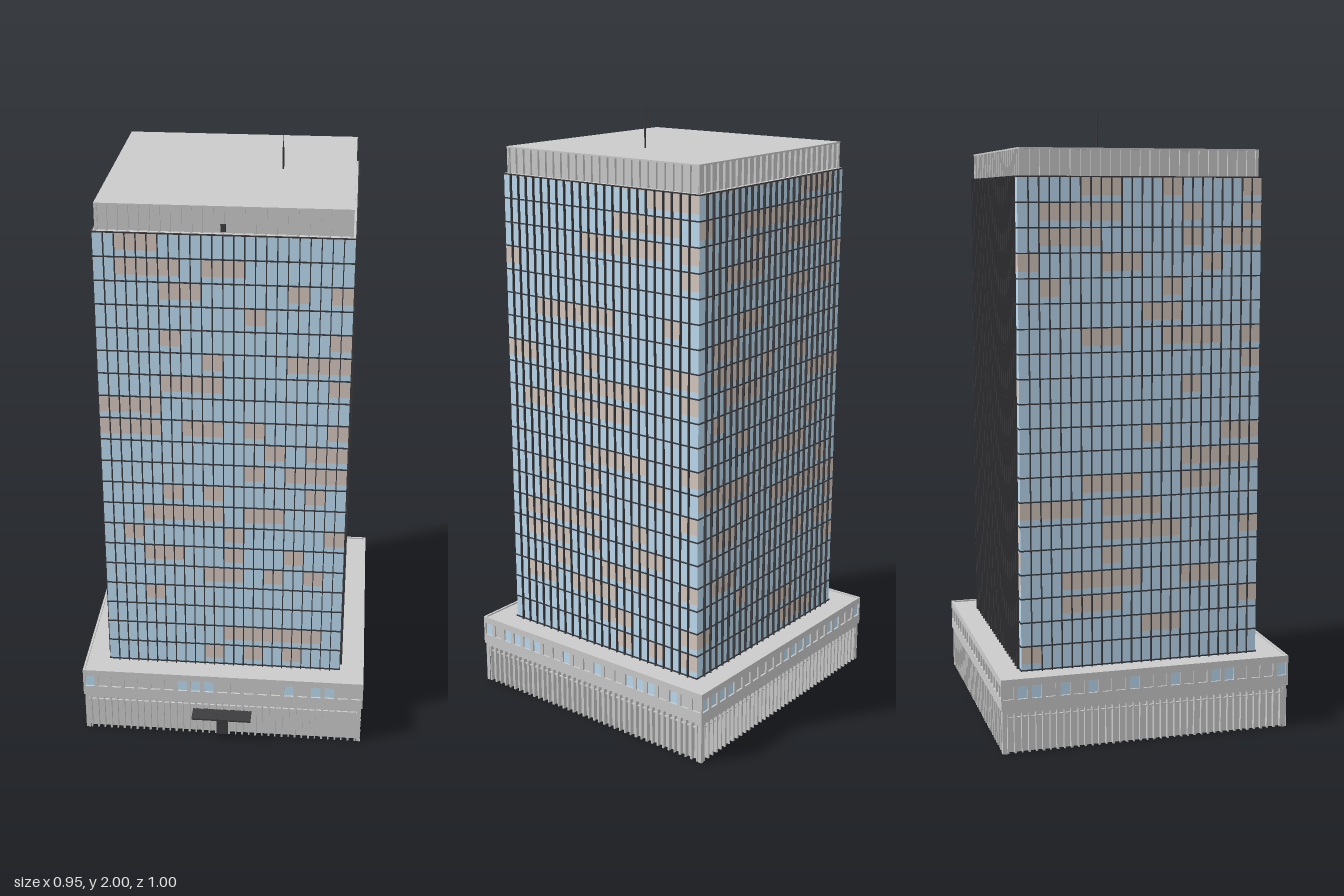
import * as THREE from 'three';
import { mergeGeometries } from 'three/addons/utils/BufferGeometryUtils.js';

const GREY = 0xcccccc, GLASS = 0xbcdcf2, BLIND = 0xd6c8be, DARK = 0x3c3c40;

// Box given by centre and size
function box(x, y, z, w, h, d) {
  return new THREE.BoxGeometry(w, h, d).translate(x, y, z);
}
function pane(x, y, z, w, h) {
  return new THREE.PlaneGeometry(w, h).translate(x, y, z);
}
function turned(geometries, i) {
  return geometries.map((g) => g.clone().rotateY((i * Math.PI) / 2));
}
// Repeat one facade on all four sides
function fourSides(geometries) {
  return [0, 1, 2, 3].flatMap((i) => turned(geometries, i));
}
function addPart(group, name, geometries, color = GREY, doubleSided = false) {
  const flat = geometries.map((g) => (g.index ? g.toNonIndexed() : g));
  const mesh = new THREE.Mesh(
    mergeGeometries(flat),
    new THREE.MeshStandardMaterial({ color, side: doubleSided ? THREE.DoubleSide : THREE.FrontSide })
  );
  mesh.name = name;
  group.add(mesh);
  return mesh;
}
function seeded(seed) {
  let s = seed;
  return () => (s = (s * 16807) % 2147483647) / 2147483647;
}

function createPodium(rand) {
  const g = new THREE.Group();
  g.name = 'podium';
  const H = 0.475, bays = 21, pitch = (2 * H) / bays, split = 0.14, top = 0.24;
  const bayX = (i) => -H + (i + 0.5) * pitch;

  // Ground floor arcade: paired narrow arches, open at the bottom
  const arcade = new THREE.Shape();
  const L = H - 0.004, r = 0.0085, spring = 0.125;
  arcade.moveTo(-L, split);
  arcade.lineTo(-L, 0);
  for (let i = 0; i < bays; i++) {
    for (const s of [-1, 1]) {
      const x = bayX(i) + s * 0.0108;
      arcade.lineTo(x - r, 0);
      arcade.lineTo(x - r, spring);
      arcade.absarc(x, spring, r, Math.PI, 0, true);
      arcade.lineTo(x + r, 0);
    }
  }
  arcade.lineTo(L, 0);
  arcade.lineTo(L, split);
  const arcadeGeo = new THREE.ExtrudeGeometry(arcade, { depth: 0.014, bevelEnabled: false, curveSegments: 4 });
  arcadeGeo.translate(0, 0, L - 0.014);
  addPart(g, 'arcade', fourSides([arcadeGeo]));
  addPart(g, 'arcadeTransoms', fourSides([box(0, 0.113, L - 0.009, 2 * L - 0.02, 0.004, 0.006)]));

  // Wall behind the arches and its glazed inner face
  addPart(g, 'groundFloorWall', fourSides([pane(0, split / 2, 0.457, 0.914, split)]));
  const lining = pane(0, 0.115, 0, 0.912, 0.23).rotateY(Math.PI).translate(0, 0, 0.456);
  addPart(g, 'innerGlazing', fourSides([lining]), GLASS);

  // Upper band with window openings
  const band = new THREE.Shape();
  band.moveTo(-H, split);
  band.lineTo(H, split);
  band.lineTo(H, top);
  band.lineTo(-H, top);
  const w = 0.016, y0 = 0.175, y1 = 0.217;
  for (let i = 0; i < bays; i++) {
    const x = bayX(i), hole = new THREE.Path();
    hole.moveTo(x - w, y0);
    hole.lineTo(x - w, y1);
    hole.lineTo(x + w, y1);
    hole.lineTo(x + w, y0);
    band.holes.push(hole);
  }
  const bandGeo = new THREE.ExtrudeGeometry(band, { depth: 0.007, bevelEnabled: false });
  bandGeo.translate(0, 0, H - 0.007);
  addPart(g, 'upperBand', fourSides([bandGeo]));
  addPart(g, 'bandSoffit', fourSides([box(0, split + 0.003, 0.463, 0.94, 0.006, 0.02)]));

  // Band windows, some lit and some plain
  const lit = [], plain = [];
  for (let s = 0; s < 4; s++) {
    for (let i = 0; i < bays; i++) {
      const p = pane(bayX(i), (y0 + y1) / 2, H - 0.006, 2 * w, y1 - y0);
      (rand() < 0.5 ? lit : plain).push(...turned([p], s));
    }
  }
  addPart(g, 'bandWindows', lit, GLASS);
  addPart(g, 'bandPanels', plain);

  // Roof deck, and the tower footing seen from underneath
  addPart(g, 'podiumRoof', [box(0, 0.23, 0, 0.937, 0.01, 0.937), box(0, 0.227, 0, 0.79, 0.01, 0.79)]);
  return g;
}

function createTower(rand) {
  const g = new THREE.Group();
  g.name = 'tower';
  const T = 0.392, base = 0.235, top = 1.78, floors = 20, cols = 12;
  const fh = (top - 0.24) / floors, cw = (2 * T) / cols;

  // Curtain wall: clear panes and runs of drawn blinds
  const clear = [], blinds = [];
  for (let s = 0; s < 4; s++) {
    for (let f = 0; f < floors; f++) {
      let drawn = false;
      for (let c = 0; c < cols; c++) {
        drawn = rand() < (drawn ? 0.5 : 0.2);
        const p = pane(-T + (c + 0.5) * cw, 0.24 + (f + 0.5) * fh, T, cw, fh);
        // Blinds stop short of the floor line, leaving clear glass below
        if (drawn) {
          const y = 0.24 + f * fh;
          blinds.push(...turned([pane(-T + (c + 0.5) * cw, y + fh * 0.6, T + 0.0006, cw, fh * 0.7)], s));
        }
        clear.push(...turned([p], s));
      }
    }
  }
  addPart(g, 'glassPanes', clear, GLASS);
  addPart(g, 'blinds', blinds, BLIND);
  addPart(g, 'towerTop', [box(0, top - 0.004, 0, 2 * T, 0.008, 2 * T)]);

  // Floor ledges and vertical fins
  const ledges = [], fins = [];
  for (let f = 0; f <= floors; f++) {
    ledges.push(box(0, 0.24 + f * fh - 0.002, T + 0.001, 2 * T + 0.006, 0.004, 0.004));
  }
  for (let i = -11; i <= 11; i++) {
    fins.push(box((i * cw) / 2, (base + top) / 2, T + 0.004, 0.003, top - base, 0.009));
  }
  addPart(g, 'floorLedges', fourSides(ledges), DARK);
  addPart(g, 'verticalFins', fourSides(fins), DARK);

  // Ribbed crown with flat roof
  const ribs = [];
  for (let i = -12; i <= 12; i++) ribs.push(box(i * 0.0317, 1.819, 0.38, 0.006, 0.082, 0.01));
  addPart(g, 'crownBody', [box(0, 1.82, 0, 0.754, 0.084, 0.754)]);
  addPart(g, 'crownRibs', fourSides(ribs));
  addPart(g, 'roofSlab', [box(0, 1.8625, 0, 0.77, 0.005, 0.77)]);
  return g;
}

export function createModel() {
  const model = new THREE.Group();
  model.name = 'officeTower';
  const rand = seeded(4711);

  const podium = createPodium(rand);
  podium.position.z = -0.025;
  const tower = createTower(rand);
  tower.position.z = -0.026;
  model.add(podium, tower);

  // Entrance door and canopy
  addPart(model, 'entranceDoor', [box(0, 0.0275, 0.44, 0.04, 0.055, 0.016)], DARK);
  addPart(model, 'entranceCanopy', [box(0, 0.098, 0.472, 0.2, 0.006, 0.056)], DARK);

  // Roof antenna in two stages
  const mast = new THREE.CylinderGeometry(0.003, 0.003, 0.07, 8).translate(0.155, 1.9, -0.025);
  const tip = new THREE.CylinderGeometry(0.0012, 0.0015, 0.066, 8).translate(0.155, 1.967, -0.025);
  addPart(model, 'antenna', [mast, tip], DARK);

  // Horizontal flagpole on the front of the crown
  const pole = new THREE.CylinderGeometry(0.0012, 0.0012, 0.045, 8).rotateX(Math.PI / 2).translate(0, 1.8, 0.378);
  addPart(model, 'flagpole', [pole, box(0, 1.798, 0.359, 0.016, 0.024, 0.004)], DARK);

  return model;
}
